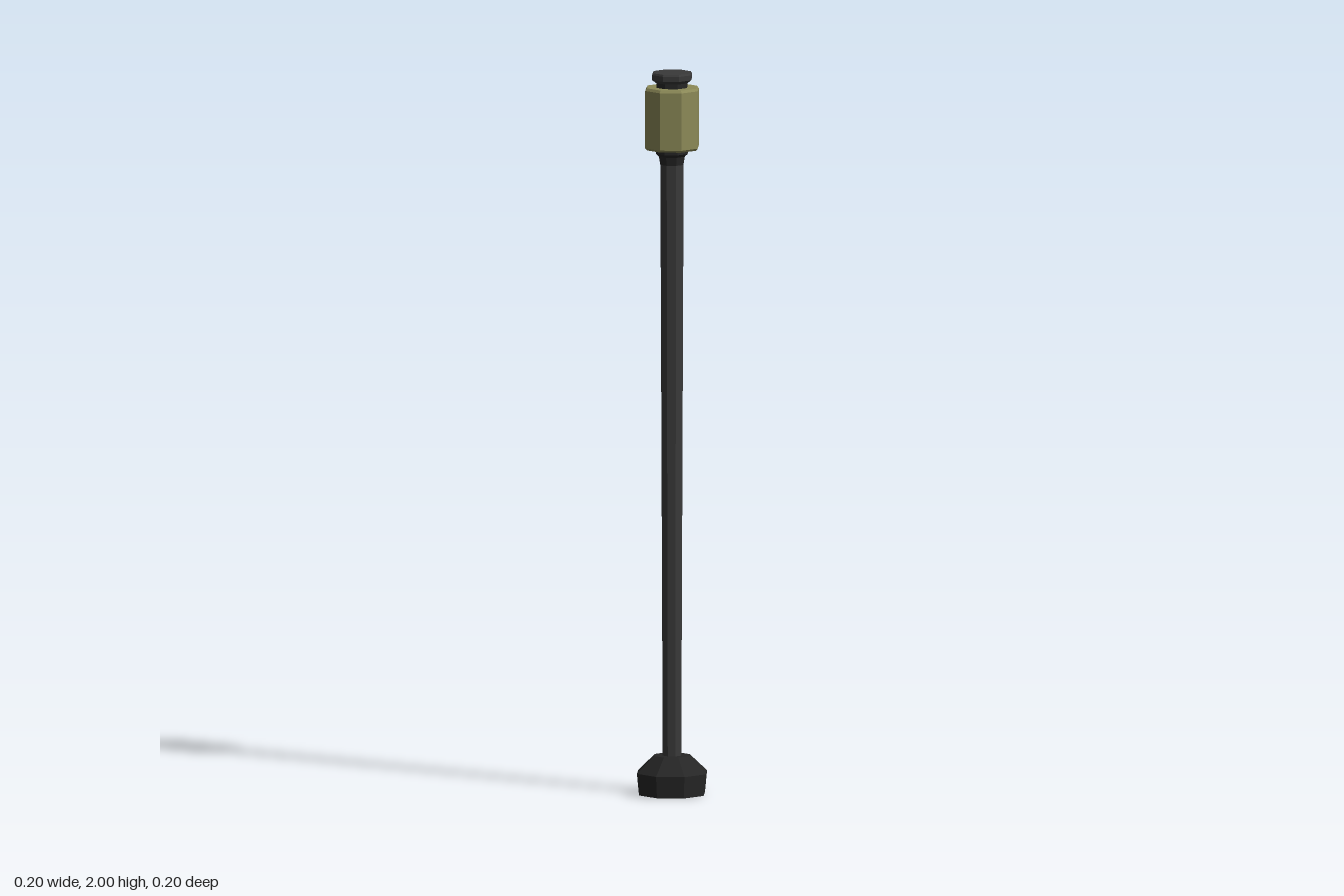
import * as THREE from 'three';

const SIDES = 8;

// Eight-sided turned part from a [radius, height] profile, listed bottom to top
function turned(name, color, profile) {
  const points = profile.map(([r, y]) => new THREE.Vector2(r, y));
  const material = new THREE.MeshStandardMaterial({ color, flatShading: true });
  const mesh = new THREE.Mesh(new THREE.LatheGeometry(points, SIDES), material);
  mesh.name = name;
  return mesh;
}

export function createModel() {
  const group = new THREE.Group();
  group.name = 'lampPost';
  const dark = 0x262626, metal = 0x3a3a3a, glass = 0x8c8a58;

  group.add(
    // Flared foot with a sloping shoulder
    turned('base', dark, [[0, 0], [0.096, 0], [0.102, 0.06], [0.052, 0.107], [0, 0.107]]),
    // Slender pole, slightly wider at the top
    turned('pole', metal, [[0.027, 0.1], [0.034, 1.76]]),
    // Stepped collar below the lantern
    turned('collar', dark, [[0, 1.745], [0.034, 1.745], [0.038, 1.768], [0.047, 1.776], [0.047, 1.792], [0, 1.792]]),
    // Lantern with small bevelled rims
    turned('lantern', glass, [[0, 1.787], [0.073, 1.787], [0.078, 1.793], [0.078, 1.952], [0.073, 1.959], [0, 1.959]]),
    // Neck and overhanging lid
    turned('neck', dark, [[0.045, 1.955], [0.045, 1.978]]),
    turned('cap', metal, [[0, 1.972], [0.046, 1.972], [0.058, 1.981], [0.058, 1.995], [0.055, 2], [0, 2]])
  );
  return group;
}
